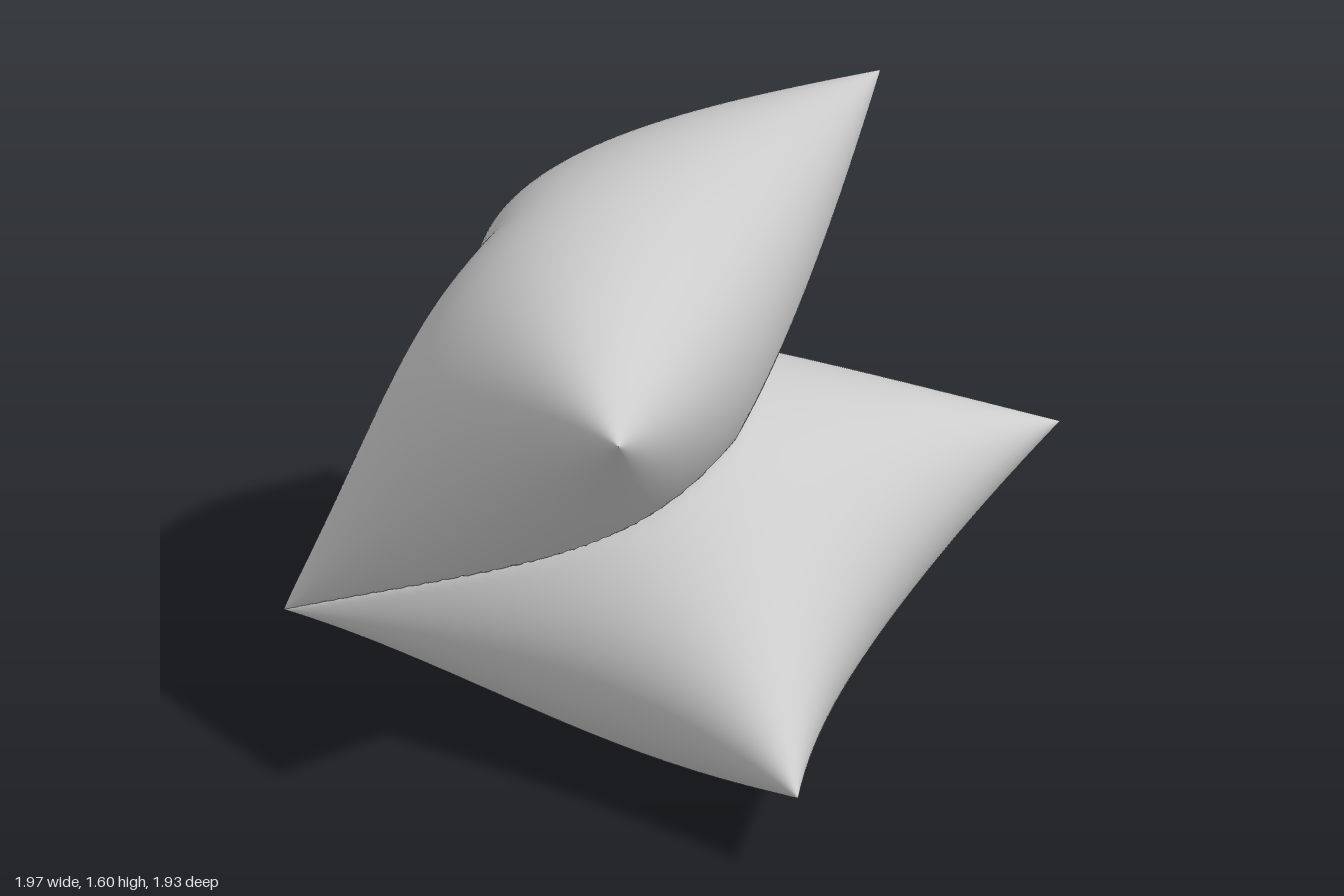
import * as THREE from 'three';
import { mergeVertices } from 'three/addons/utils/BufferGeometryUtils.js';

const N = 84;             // grid cells per cushion side
const HINGE = 0.59;       // half length of the shared seam
const FAR = 0.76;         // half length of the opposite seam
const DEPTH = 1.405, DROP = 0.557; // far seam, measured from the contact plane
const PUFF_OUT = 0.45, PUFF_IN = 0.41; // half thickness of outer and inner skin
const tilt = Math.atan2(DROP, DEPTH);

// Point on the cushion: s across and u from hinge to far seam, both -1..1.
// side is -1 for the outer skin and +1 for the skin facing the other cushion.
function cushionPoint(s, u, side) {
  const a = (u + 1) / 2;
  const tuck = 0.43 * (1 - Math.abs(s)) ** 1.5 * (1 - a) ** 2;
  const farPull = 0.125 * (1 - s * s) * a * a;
  const sidePull = 0.078 * (1 - u * u);
  const x = s * (HINGE + (FAR - HINGE) * a - sidePull) + 0.022 * a;
  let q = DEPTH * a + (tuck - farPull) * Math.cos(tilt);
  let n = -DROP * a + farPull * Math.sin(tilt);
  let h = Math.sqrt(Math.max(0, (1 - u * u) * (1 - s * s)));
  if (side < 0) {
    // Outer skin: slimmer towards the hinge, with a crease at the tucked seam
    h *= PUFF_OUT * (1 - 0.45 * (1 - a) ** 2.5);
    h *= 1 - 0.6 * Math.exp(-((s / 0.2) ** 2)) * (1 - a) ** 5;
  } else h *= PUFF_IN;
  q += side * h * Math.sin(tilt);
  n += side * h * Math.cos(tilt);
  return [x, q, Math.min(n, 0)]; // pressed flat on the contact plane
}

// One cushion; flip = -1 mirrors it across the contact plane
function cushionGeometry(flip) {
  const positions = [], index = [];
  const spaced = (i) => Math.sin((i / N - 0.5) * Math.PI);
  for (const side of [-1, 1]) {
    const start = positions.length / 3;
    for (let j = 0; j <= N; j++) {
      for (let i = 0; i <= N; i++) {
        const [x, q, n] = cushionPoint(spaced(i), spaced(j), side);
        positions.push(x, q, n * flip);
      }
    }
    for (let j = 0; j < N; j++) {
      for (let i = 0; i < N; i++) {
        const a = start + j * (N + 1) + i, b = a + 1, c = b + N + 1, d = a + N + 1;
        if (side * flip > 0) index.push(a, b, c, a, c, d);
        else index.push(a, c, b, a, d, c);
      }
    }
  }
  const g = new THREE.BufferGeometry();
  g.setAttribute('position', new THREE.Float32BufferAttribute(positions, 3));
  g.setIndex(index);
  const merged = mergeVertices(g, 1e-5);
  merged.computeVertexNormals();
  return merged;
}

export function createModel() {
  const model = new THREE.Group();
  model.name = 'foldedCushions';
  const material = new THREE.MeshStandardMaterial({ color: 0xcccccc, side: THREE.DoubleSide });

  // Frame of the contact plane: along the hinge, away from it, and its normal
  const normal = new THREE.Vector3(-0.403, 0.915, 0).normalize();
  const away = new THREE.Vector3(0.75, 0.33, 0.572);
  away.addScaledVector(normal, -away.dot(normal)).normalize();
  const along = new THREE.Vector3().crossVectors(away, normal);
  const pair = new THREE.Group();
  pair.name = 'cushionPair';
  pair.quaternion.setFromRotationMatrix(new THREE.Matrix4().makeBasis(along, away, normal));
  pair.position.set(-0.67, 0.446, -0.484);
  model.add(pair);

  for (const [name, flip] of [['lowerCushion', 1], ['upperCushion', -1]]) {
    const mesh = new THREE.Mesh(cushionGeometry(flip), material);
    mesh.name = name;
    pair.add(mesh);
  }
  return model;
}
